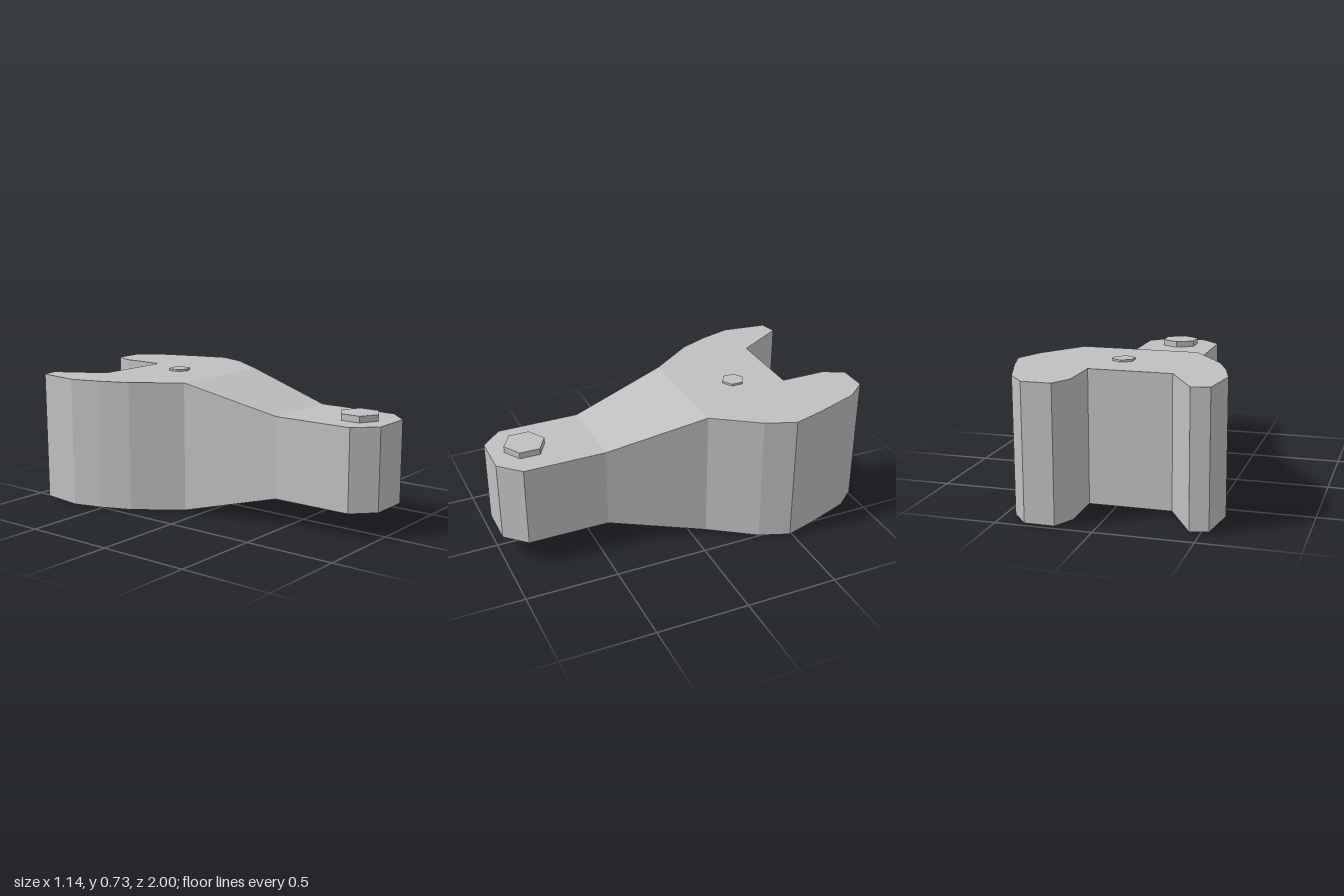
import * as THREE from 'three';

export function createModel() {
  const group = new THREE.Group();
  const grey = new THREE.MeshStandardMaterial({ color: 0xc0c0c0 });
  grey.name = 'grey';

  const add = (name, geometry) => {
    const mesh = new THREE.Mesh(geometry, grey);
    mesh.name = name;
    group.add(mesh);
    return mesh;
  };

  // Upright prism from an [x, z] outline between two heights
  const prism = (name, outline, y0, y1) => {
    const shape = new THREE.Shape(outline.map(([x, z]) => new THREE.Vector2(x, -z)));
    const geometry = new THREE.ExtrudeGeometry(shape, { depth: y1 - y0, bevelEnabled: false });
    geometry.rotateX(-Math.PI / 2).translate(0, y0, 0);
    return add(name, geometry);
  };

  const thick = { z: -0.08, x: [-0.29, 0.345], y: [0.013, 0.716] };
  const slim = { z: 0.45, x: [-0.19, 0.245], y: [0.146, 0.584] };

  // Open jaw with two uneven prongs
  prism('jaw', [
    [-0.29, -0.08], [0.345, -0.08], [0.51, -0.32], [0.57, -0.48], [0.52, -0.65],
    [0.435, -0.89], [0.345, -1], [0.19, -1], [0.135, -0.89], [0.135, -0.64],
    [-0.3, -0.64], [-0.45, -0.9], [-0.543, -0.88], [-0.575, -0.64],
    [-0.53, -0.48], [-0.465, -0.32],
  ], ...thick.y);

  // Handle end with clipped corners
  prism('handle', [
    [-0.19, 0.45], [-0.19, 0.89], [-0.08, 1], [0.138, 1], [0.245, 0.89], [0.245, 0.45],
  ], ...slim.y);

  // Neck tapering in both width and height
  const neck = new THREE.BoxGeometry(1, 1, 1).toNonIndexed();
  const p = neck.attributes.position;
  for (let i = 0; i < p.count; i++) {
    const end = p.getZ(i) > 0 ? slim : thick;
    p.setXYZ(i, end.x[p.getX(i) > 0 ? 1 : 0], end.y[p.getY(i) > 0 ? 1 : 0], end.z);
  }
  neck.computeVertexNormals();
  add('neck', neck);

  // Hexagonal bolts running through the body
  const bolt = (name, radius, y0, y1, z) => {
    const geometry = new THREE.CylinderGeometry(radius, radius, y1 - y0, 6).toNonIndexed();
    geometry.computeVertexNormals();
    add(name, geometry).position.set(0.028, (y0 + y1) / 2, z);
  };
  bolt('handleBolt', 0.109, 0.12, 0.618, 0.815);
  bolt('jawBolt', 0.062, 0, 0.727, -0.383);

  return group;
}
